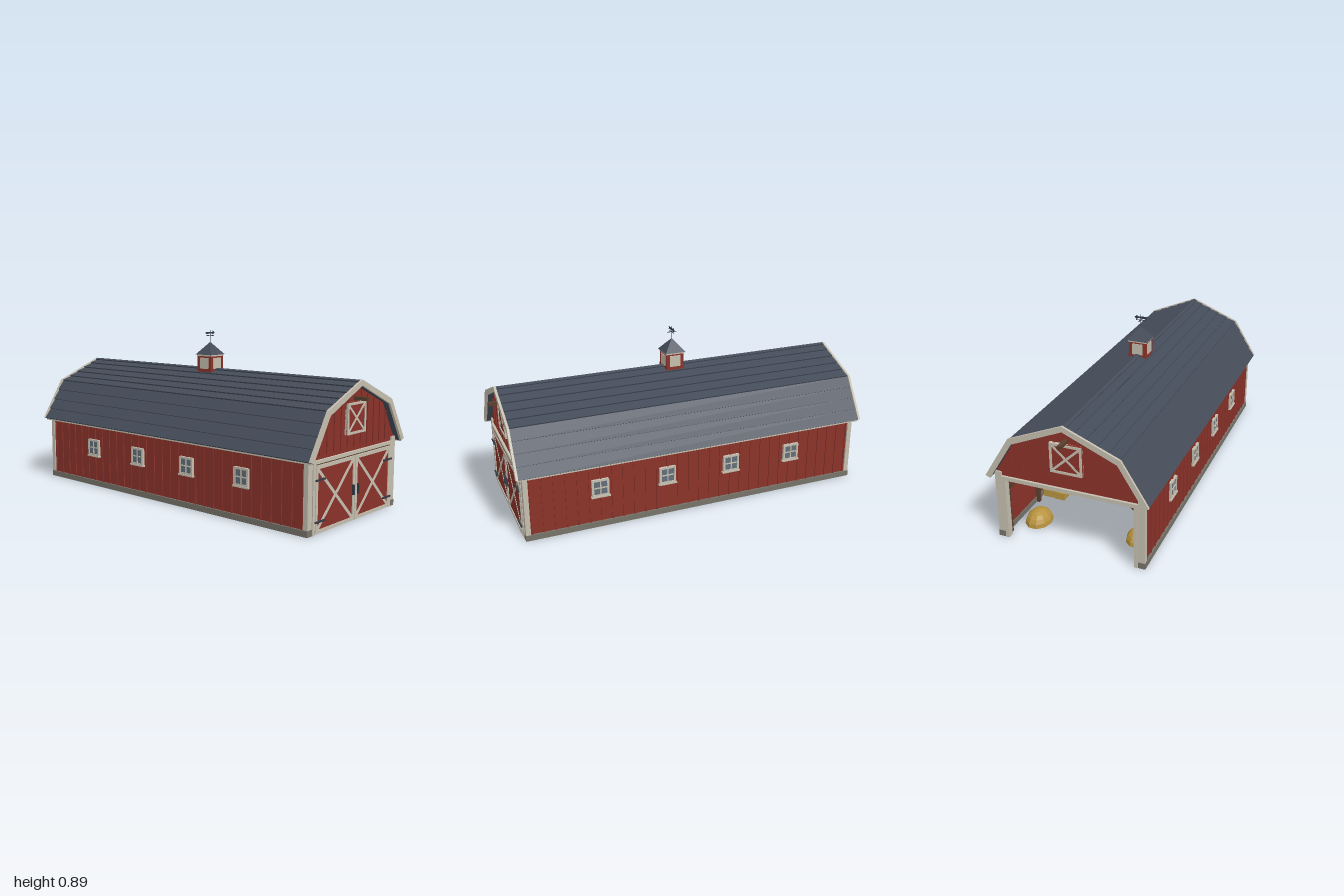
import * as THREE from 'three';

const mat = (name, color, side = THREE.FrontSide) => {
  const m = new THREE.MeshStandardMaterial({ color, side });
  m.name = name;
  return m;
};

export function createModel() {
  const red = mat('barn red', 0x8a3229);
  const cream = mat('cream trim', 0xc6bfb0);
  const slate = mat('slate roof', 0x454c59);
  const stone = mat('foundation stone', 0x77736a);
  const wood = mat('timber brown', 0x59402e);
  const iron = mat('dark iron', 0x343a46);
  const hay = mat('hay', 0xb8933f);
  const glass = mat('window glass', 0x626e7a);

  const barn = new THREE.Group();
  barn.name = 'barn';

  const group = (name, parent = barn) => {
    const g = new THREE.Group();
    g.name = name;
    parent.add(g);
    return g;
  };
  const add = (parent, name, geo, m, x = 0, y = 0, z = 0) => {
    const mesh = new THREE.Mesh(geo, m);
    mesh.name = name;
    mesh.position.set(x, y, z);
    parent.add(mesh);
    return mesh;
  };
  const box = (parent, name, m, w, h, d, x, y, z) =>
    add(parent, name, new THREE.BoxGeometry(w, h, d), m, x, y, z);
  // straight bar between two points of a plane z = const
  const bar = (parent, name, m, [x1, y1], [x2, y2], width, depth, z) => {
    const b = box(parent, name, m, Math.hypot(x2 - x1, y2 - y1), width, depth, (x1 + x2) / 2, (y1 + y2) / 2, z);
    b.rotation.z = Math.atan2(y2 - y1, x2 - x1);
    return b;
  };
  const extrude = (points, depth) => {
    const shape = new THREE.Shape(points.map(p => new THREE.Vector2(p[0], p[1])));
    return new THREE.ExtrudeGeometry(shape, { depth, bevelEnabled: false });
  };
  const flip = pts => pts.map(([x, y]) => [-x, y]).reverse();
  // symmetric outline between an outer and an inner half, both eave to ridge
  const arch = (outer, inner) => [...outer, ...flip(outer), ...inner.map(([x, y]) => [-x, y]), ...[...inner].reverse()];

  // Roof with lapped courses
  const eave = [0.405, 0.35], knee = [0.272, 0.563], ridge = [0, 0.677];
  const courses = (a, b, n, lift) => {
    const dx = b[0] - a[0], dy = b[1] - a[1], len = Math.hypot(dx, dy), pts = [];
    for (let i = 0; i < n; i++) {
      const p = i / n, q = (i + 1) / n;
      pts.push([a[0] + dx * p + dy / len * lift, a[1] + dy * p - dx / len * lift]);
      pts.push([a[0] + dx * q, a[1] + dy * q]);
    }
    return pts;
  };
  const inner = [[0.392, 0.343], [0.263, 0.551], [0, 0.662]];
  const roof = group('roof');
  const outer = [...courses(eave, knee, 4, 0.007), ...courses(knee, ridge, 5, 0.007)];
  add(roof, 'roofShell', extrude(arch(outer, inner), 1.92), slate, 0, 0, -0.96);
  for (const s of [-1, 1]) {
    bar(roof, 'ridgeCap', slate, [0, 0.683], [s * 0.016, 0.677], 0.006, 1.93, 0);
    box(roof, 'eaveFascia', cream, 0.006, 0.012, 1.92, s * 0.395, 0.345, 0);
  }
  const roofY = x => {
    x = Math.abs(x);
    return x < 0.263 ? 0.662 - x * 0.422 : 0.551 - (x - 0.263) * 1.612;
  };

  // Side walls with battens and four windows each
  const wall = s => {
    const g = group(s > 0 ? 'leftWall' : 'rightWall');
    box(g, 'sideBoards', red, 0.016, 0.36, 1.85, s * 0.367, 0.205, 0);
    box(g, 'foundation', stone, 0.03, 0.03, 1.856, s * 0.37, 0.015, 0);
    for (let i = -15; i <= 15; i++) box(g, 'batten', red, 0.006, 0.34, 0.008, s * 0.377, 0.2, i * 0.06);
    for (const z of [-0.545, -0.182, 0.182, 0.545]) {
      const w = group('window', g);
      w.position.set(s * 0.38, 0.22, z);
      box(w, 'pane', glass, 0.008, 0.085, 0.08, 0, 0, 0);
      for (const k of [-1, 0, 1]) {
        const t = k ? 0.011 : 0.006;
        box(w, 'upright', cream, 0.016, 0.09, t, 0, 0, k * 0.04);
        box(w, 'crossbar', cream, 0.015, t, 0.085, 0, k * 0.041, 0);
      }
      box(w, 'sill', cream, 0.024, 0.008, 0.1, 0, -0.048, 0);
    }
  };
  wall(1);
  wall(-1);

  // Cream frame with crossed braces, used by hatch and doors
  const crossPanel = (parent, x0, x1, y0, y1, t, z) => {
    const w = x1 - x0, h = y1 - y0, cx = (x0 + x1) / 2, cy = (y0 + y1) / 2;
    box(parent, 'panel', red, w, h, 0.012, cx, cy, z);
    for (const s of [-1, 1]) {
      box(parent, 'stile', cream, t, h, 0.02, cx + s * (w - t) / 2, cy, z);
      box(parent, 'rail', cream, w - 2 * t, t, 0.02, cx, cy + s * (h - t) / 2, z);
      bar(parent, 'brace', cream, [x0 + t, cy - s * (h / 2 - t)], [x1 - t, cy + s * (h / 2 - t)], t * 0.95, 0.016 + s * 0.001, z);
    }
  };

  // Gable ends, each with an opening, trim, hatch and hoist beam
  const gableEnd = name => {
    const g = group(name);
    const half = [[0.33, 0], [0.37, 0], [0.37, 0.376], [0.263, 0.55], [0, 0.661]];
    const outline = [[0.33, 0.33], ...half, ...flip(half).slice(1), [-0.33, 0.33]];
    add(g, 'gableBoards', extrude(outline, 0.016), red, 0, 0, 0.909);
    for (let i = -5; i <= 5; i++) {
      const top = roofY(i * 0.0575) - 0.004;
      box(g, 'batten', red, 0.007, top - 0.362, 0.006, i * 0.0575, (top + 0.362) / 2, 0.928);
    }
    const rake = [[0.413, 0.354], [0.28, 0.57], [0, 0.687]];
    const rakeIn = [[0.389, 0.343], [0.264, 0.545], [0, 0.659]];
    add(g, 'rakeBoard', extrude(arch(rake, rakeIn), 0.012), cream, 0, 0, 0.955);
    for (const s of [-1, 1]) {
      box(g, 'cornerBoard', cream, 0.034, 0.335, 0.025, s * 0.366, 0.1975, 0.921);
      box(g, 'cornerFooting', stone, 0.036, 0.031, 0.032, s * 0.367, 0.0155, 0.919);
      box(g, 'doorJamb', cream, 0.018, 0.343, 0.034, s * 0.338, 0.1715, 0.92);
    }
    box(g, 'doorHeader', cream, 0.694, 0.02, 0.034, 0, 0.334, 0.92);
    const hatch = group('loftHatch', g);
    crossPanel(hatch, -0.081, 0.081, 0.428, 0.58, 0.012, 0.932);
    box(g, 'hoistBeam', wood, 0.018, 0.018, 0.12, 0, 0.597, 0.94);
    return g;
  };
  const front = gableEnd('frontEnd');
  gableEnd('backEnd').rotation.y = Math.PI;

  // Closed double doors at the front
  for (const s of [-1, 1]) {
    const door = group(s > 0 ? 'leftDoor' : 'rightDoor', front);
    const [a, b] = s > 0 ? [0.002, 0.329] : [-0.329, -0.002];
    crossPanel(door, a, b, 0.004, 0.322, 0.017, 0.93);
    for (const y of [0.06, 0.255]) box(door, 'hinge', iron, 0.073, 0.008, 0.008, s * 0.297, y, 0.943);
    box(door, 'handle', iron, 0.007, 0.05, 0.012, s * 0.021, 0.157, 0.944);
  }
  box(front, 'doorTrack', wood, 0.65, 0.004, 0.01, 0, 0.326, 0.933);

  // Cupola with louvres and weathervane
  const cupola = group('cupola');
  box(cupola, 'cupolaBody', red, 0.094, 0.11, 0.094, 0, 0.695, 0);
  box(cupola, 'cupolaBase', red, 0.1, 0.024, 0.1, 0, 0.672, 0);
  for (let i = 0; i < 4; i++) {
    const side = group('cupolaSide', cupola);
    side.rotation.y = i * Math.PI / 2;
    box(side, 'louvrePanel', cream, 0.06, 0.06, 0.006, 0, 0.71, 0.048);
    box(side, 'cupolaCorner', red, 0.012, 0.07, 0.012, 0.043, 0.715, 0.043);
  }
  box(cupola, 'cornice', cream, 0.104, 0.008, 0.104, 0, 0.753, 0);
  const cap = new THREE.ConeGeometry(0.08, 0.068, 4).toNonIndexed();
  cap.computeVertexNormals();
  add(cupola, 'cupolaRoof', cap, slate, 0, 0.791, 0).rotation.y = Math.PI / 4;
  const vane = group('weathervane', cupola);
  add(vane, 'rod', new THREE.CylinderGeometry(0.002, 0.002, 0.075, 8), iron, 0, 0.853, 0);
  box(vane, 'crossArm', iron, 0.054, 0.003, 0.003, 0, 0.86, 0);
  box(vane, 'crossArm', iron, 0.003, 0.003, 0.054, 0, 0.86, 0);
  const arrow = [[-0.037, 0.869], [0.02, 0.871], [0.02, 0.864], [0.036, 0.875], [0.02, 0.886], [0.02, 0.879], [-0.037, 0.881], [-0.031, 0.875]];
  add(vane, 'arrow', extrude(arrow, 0.004), iron, 0, 0, -0.002);

  // Timber frames inside
  for (let i = -3; i <= 3; i++) {
    const f = group('timberFrame');
    f.position.z = i * 0.295;
    box(f, 'tieBeam', wood, 0.718, 0.02, 0.018, 0, 0.345, 0);
    for (const s of [-1, 1]) {
      box(f, 'post', wood, 0.02, 0.345, 0.02, s * 0.349, 0.1725, 0);
      bar(f, 'kneeBrace', wood, [s * 0.345, 0.25], [s * 0.26, 0.34], 0.013, 0.013, 0);
      bar(f, 'lowerRafter', wood, [s * 0.36, 0.37], [s * 0.255, 0.542], 0.014, 0.016, 0);
      bar(f, 'upperRafter', wood, [s * 0.255, 0.546], [0, 0.652], 0.014, 0.016, 0);
    }
  }

  // Hay bales stacked along the walls, loose piles near the ends
  const bale = (g, x, y, z) => box(g, 'bale', hay, 0.06, 0.04, 0.08, x, y, z);
  for (const s of [-1, 1]) {
    for (let i = -2; i <= 2; i++) {
      const g = group('haystack');
      g.position.set(s * 0.285, 0, i * 0.27 + 0.04);
      bale(g, -0.032, 0.02, 0);
      bale(g, 0.032, 0.02, 0.005);
      if (i !== -1) bale(g, 0, 0.06, 0).rotation.y = 0.25 * s;
    }
  }
  for (const [x, z, r] of [[0.26, -0.75, 0.075], [-0.27, -0.72, 0.07], [-0.26, 0.8, 0.075]]) {
    const pile = new THREE.SphereGeometry(r, 10, 5, 0, Math.PI * 2, 0, Math.PI / 2).toNonIndexed();
    pile.computeVertexNormals();
    add(barn, 'hayPile', pile, hay, x, 0, z).scale.set(0.9, 0.9, 1.1);
    const base = add(barn, 'hayPileBase', new THREE.CircleGeometry(r, 10), hay, x, 0.001, z);
    base.rotation.x = Math.PI / 2;
    base.scale.set(0.9, 1.1, 1);
  }
  return barn;
}
